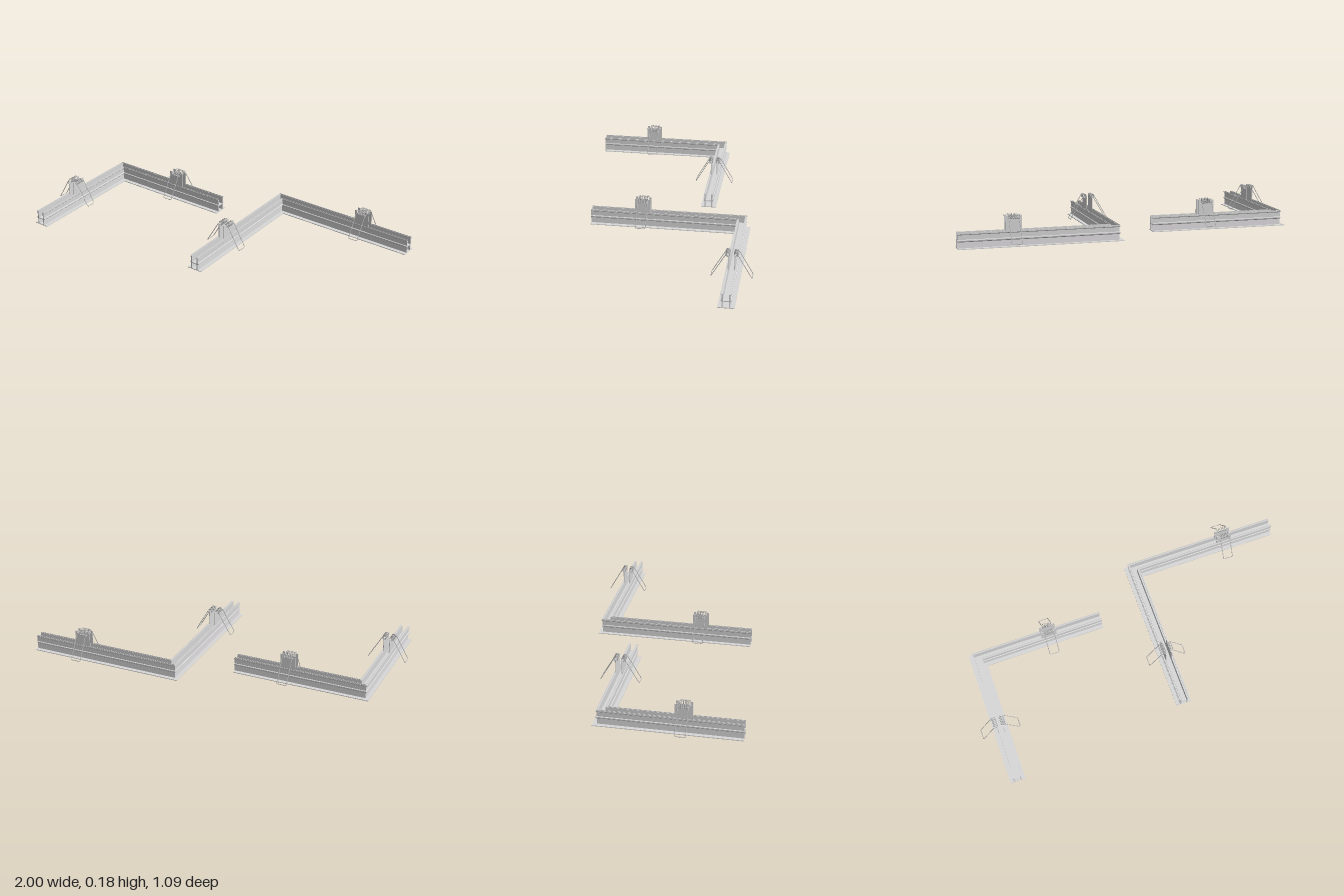
import * as THREE from 'three';

function makeMaterial(name, color) {
  const m = new THREE.MeshStandardMaterial({ color });
  m.name = name;
  return m;
}
const metal = makeMaterial('aluminium', 0xd8d8d8);
const pale = makeMaterial('paleAluminium', 0xe0dee0);
const steel = makeMaterial('springSteel', 0xc0c0c0);

const rect = (u0, y0, u1, y1) => [[u0, y0], [u1, y0], [u1, y1], [u0, y1]];
const mirrored = (poly) => poly.map(([u, y]) => [-u, y]).reverse();

// Side wall sections: plain below, ribbed above with a narrow groove along the top
const lowerWall = rect(0.016, 0.004, 0.022, 0.036);
const upperWall = [[0.016, 0.036], [0.022, 0.036], [0.027, 0.041], [0.027, 0.047],
  [0.023, 0.049], [0.023, 0.074], [0.027, 0.078], [0.027, 0.085],
  [0.025, 0.085], [0.025, 0.08], [0.018, 0.08], [0.018, 0.085], [0.016, 0.085]];

// Sweep a counter-clockwise section round an L-shaped path with a mitred corner
function sweepL(poly, { cx, cz, xEnd, zEnd }) {
  const rings = [
    poly.map(([u, y]) => [cx + u, y, zEnd]),
    poly.map(([u, y]) => [cx + u, y, cz + u]),
    poly.map(([u, y]) => [xEnd, y, cz + u]),
  ];
  const out = [];
  const tri = (a, b, c) => out.push(...a, ...b, ...c);
  const n = poly.length;
  for (let s = 0; s < 2; s++) {
    for (let i = 0; i < n; i++) {
      const j = (i + 1) % n, A = rings[s], B = rings[s + 1];
      tri(A[i], B[i], B[j]);
      tri(A[i], B[j], A[j]);
    }
  }
  const caps = THREE.ShapeUtils.triangulateShape(poly.map(([u, y]) => new THREE.Vector2(u, y)), []);
  for (const [a, b, c] of caps) {
    tri(rings[0][a], rings[0][b], rings[0][c]);
    tri(rings[2][a], rings[2][c], rings[2][b]);
  }
  const g = new THREE.BufferGeometry();
  g.setAttribute('position', new THREE.Float32BufferAttribute(out, 3));
  g.computeVertexNormals();
  return g;
}

function add(parent, name, geometry, material) {
  const m = new THREE.Mesh(geometry, material);
  m.name = name;
  parent.add(m);
}

// Clip dimensions, measured along the rail (x), up (y) and across (z)
const COIL_Y = 0.159, COIL_Z = 0.022, COIL_R = 0.011, HALF = 0.028, WIRE = 0.002;

class Helix extends THREE.Curve {
  getPoint(t, target = new THREE.Vector3()) {
    const a = t * Math.PI * 2 * 6;
    return target.set(-HALF + 2 * HALF * t, COIL_Y + Math.sin(a) * COIL_R, COIL_Z + Math.cos(a) * COIL_R);
  }
}

// Rectangular wire arm with rounded lower corners
function armPath() {
  const V = (x, t) => new THREE.Vector3(x,
    THREE.MathUtils.lerp(COIL_Y, 0.028, t), THREE.MathUtils.lerp(COIL_Z + COIL_R, 0.109, t));
  const path = new THREE.CurvePath();
  const r = 0.008, t = 0.95;
  path.add(new THREE.LineCurve3(V(-HALF, 0), V(-HALF, t)));
  path.add(new THREE.QuadraticBezierCurve3(V(-HALF, t), V(-HALF, 1), V(-HALF + r, 1)));
  path.add(new THREE.LineCurve3(V(-HALF + r, 1), V(HALF - r, 1)));
  path.add(new THREE.QuadraticBezierCurve3(V(HALF - r, 1), V(HALF, 1), V(HALF, t)));
  path.add(new THREE.LineCurve3(V(HALF, t), V(HALF, 0)));
  return path;
}

// Upright plate with a notch in which the spring sits
function plateGeometry() {
  const pts = [[-0.045, 0.079], [0.045, 0.079], [0.045, 0.166], [0.031, 0.166],
    [0.031, 0.149], [-0.031, 0.149], [-0.031, 0.166], [-0.045, 0.166]];
  const shape = new THREE.Shape(pts.map(([x, y]) => new THREE.Vector2(x, y)));
  return new THREE.ExtrudeGeometry(shape, { depth: 0.004, bevelEnabled: false }).translate(0, 0, 0.015);
}

const coilGeo = new THREE.TubeGeometry(new Helix(), 96, WIRE, 5);
const armGeo = new THREE.TubeGeometry(armPath(), 80, WIRE, 6);
const plateGeo = plateGeometry();

function springClip(x, z, turn) {
  const clip = new THREE.Group();
  clip.name = 'springClip';
  for (const side of [0, Math.PI]) {
    const half = new THREE.Group();
    half.name = 'clipHalf';
    half.rotation.y = side;
    add(half, 'clipPlate', plateGeo, metal);
    add(half, 'coilSpring', coilGeo, steel);
    add(half, 'wireArm', armGeo, steel);
    clip.add(half);
  }
  clip.position.set(x, 0, z);
  clip.rotation.y = turn;
  return clip;
}

function cornerRail(o) {
  const rail = new THREE.Group();
  rail.name = o.name;
  add(rail, 'baseFlange', sweepL(rect(-0.044, 0, 0.044, 0.004), o), metal);
  add(rail, 'bridge', sweepL(rect(-0.016, 0.038, 0.016, 0.043), o), metal);
  // Matching walls on the inside and outside of the corner
  for (const [side, place] of [['inner', (p) => p], ['outer', mirrored]]) {
    add(rail, side + 'LowerWall', sweepL(place(lowerWall), o), pale);
    add(rail, side + 'UpperWall', sweepL(place(upperWall), o), metal);
  }
  rail.add(springClip(o.cx, o.clipZ, Math.PI / 2), springClip(o.clipX, o.cz, 0));
  rail.position.y = o.lift;
  return rail;
}

export function createModel() {
  const model = new THREE.Group();
  model.name = 'cornerRails';
  model.add(
    cornerRail({ name: 'rightRail', cx: -0.889, cz: -0.208, xEnd: -0.14, zEnd: 0.543,
      clipX: -0.458, clipZ: 0.226, lift: 0 }),
    cornerRail({ name: 'leftRail', cx: 0.142, cz: -0.432, xEnd: 1, zEnd: 0.428,
      clipX: 0.7, clipZ: 0.13, lift: 0.005 }),
  );
  return model;
}
